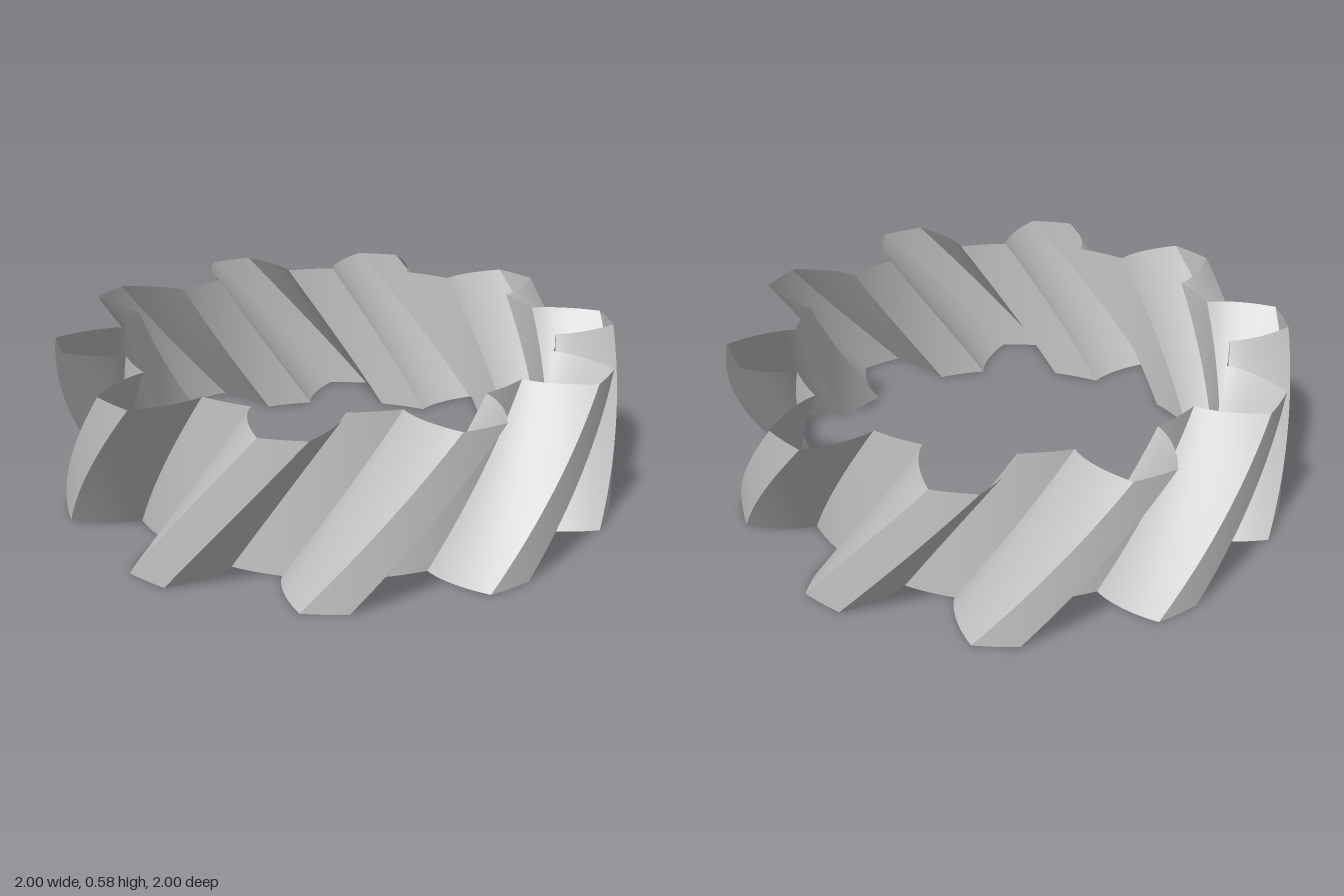
import * as THREE from 'three';

const TEETH = 10, HEIGHT = 0.585, ROOT = 0.772, TIP = 1;
const RAD = Math.PI / 180;
const START = -25 * RAD, TWIST = 29 * RAD;      // tooth angle at the bottom, helix turn
const TIP_HALF = 4.5 * RAD, BASE_HALF = 11.3 * RAD;
const STEPS = 24;                               // rows up the helix

// Involute angle at radius r
function involute(r) {
  const p = Math.acos(Math.min(1, ROOT / r));
  return Math.tan(p) - p;
}

// Half angle of a tooth at radius r
function halfAngle(r) {
  return BASE_HALF - (BASE_HALF - TIP_HALF) * involute(r) / involute(TIP);
}

// Sweep a row of [angle, radius] points up the helix as one smooth face
function helicalStrip(row) {
  const pos = [], idx = [], n = row.length;
  for (let j = 0; j <= STEPS; j++) {
    const t = j / STEPS;
    for (const [a, r] of row) {
      const b = a + START + TWIST * t;
      pos.push(r * Math.sin(b), HEIGHT * t, r * Math.cos(b));
    }
  }
  for (let j = 0; j < STEPS; j++) {
    for (let i = 0; i < n - 1; i++) {
      const p = j * n + i;
      idx.push(p, p + 1, p + n, p + 1, p + n + 1, p + n);
    }
  }
  const g = new THREE.BufferGeometry();
  g.setAttribute('position', new THREE.Float32BufferAttribute(pos, 3));
  g.setIndex(idx);
  g.computeVertexNormals();
  return g;
}

// Points on an arc of constant radius
function arc(from, to, r, n) {
  return Array.from({ length: n + 1 }, (_, i) => [from + (to - from) * i / n, r]);
}

// Points along a curved flank; side -1 climbs to the tip, +1 descends from it
function flank(side, n = 10) {
  const pts = Array.from({ length: n + 1 }, (_, i) => {
    const r = ROOT + (TIP - ROOT) * i / n;
    return [side * halfAngle(r), r];
  });
  return side > 0 ? pts.reverse() : pts;
}

export function createModel() {
  const model = new THREE.Group();
  model.name = 'helicalGearRing';
  const grey = new THREE.MeshStandardMaterial({ color: 0xc4c4c4, side: THREE.DoubleSide });
  grey.name = 'light grey';

  // One pitch: flank, tip, flank and the valley to the next tooth
  const pitch = 2 * Math.PI / TEETH;
  const faces = {
    leadingFlank: helicalStrip(flank(-1)),
    toothTip: helicalStrip(arc(-TIP_HALF, TIP_HALF, TIP, 6)),
    trailingFlank: helicalStrip(flank(1)),
    valley: helicalStrip(arc(BASE_HALF, pitch - BASE_HALF, ROOT, 6)),
  };

  // Repeat around the ring
  for (let k = 0; k < TEETH; k++) {
    const tooth = new THREE.Group();
    tooth.name = 'tooth' + (k + 1);
    tooth.rotation.y = k * pitch;
    for (const [name, geometry] of Object.entries(faces)) {
      const mesh = new THREE.Mesh(geometry, grey);
      mesh.name = name;
      tooth.add(mesh);
    }
    model.add(tooth);
  }
  return model;
}
